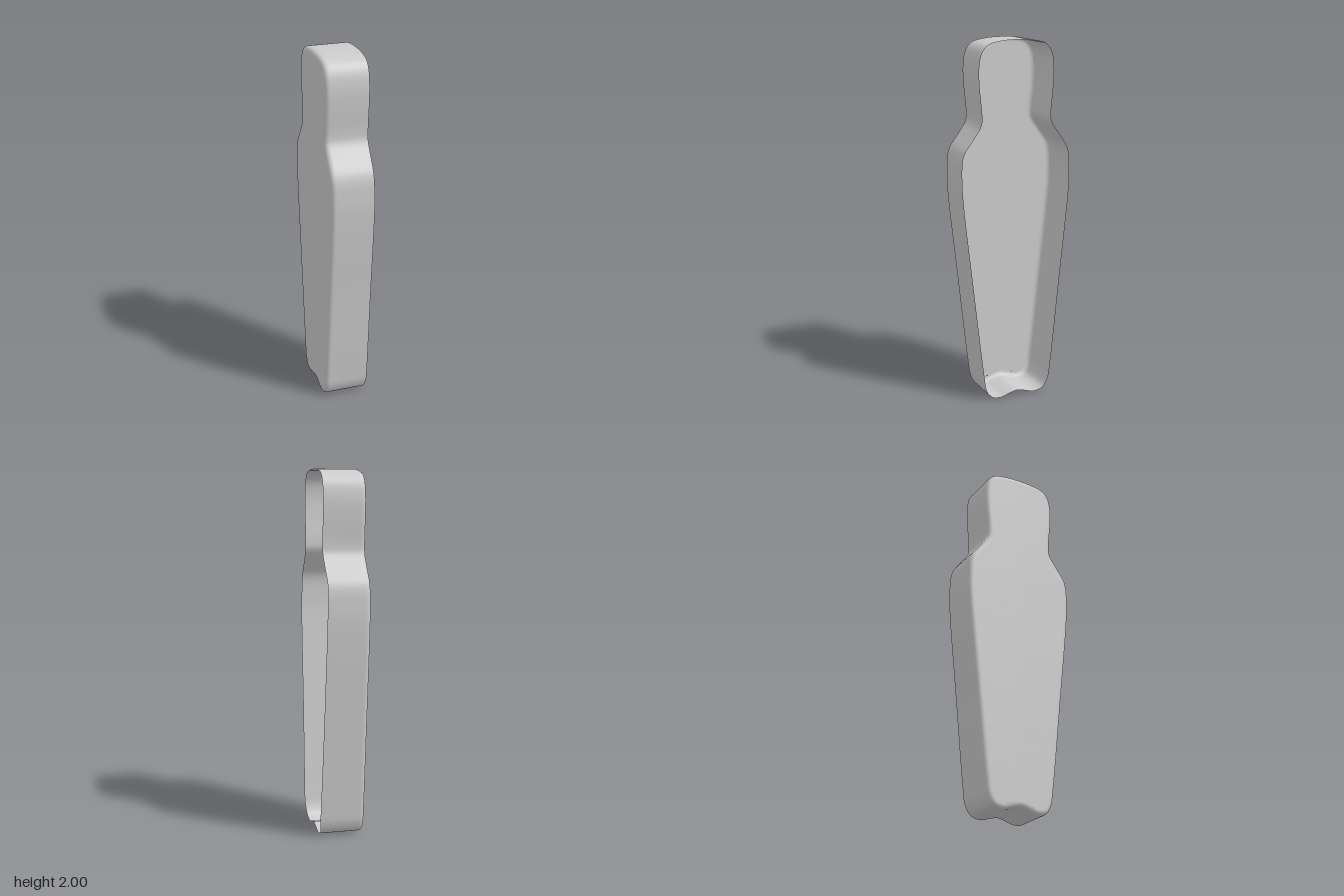
import * as THREE from 'three';

// Half outline as [z, y], from the top centre down to the notch at the foot
const HALF = [
  [0, 2], [0.1, 1.994], [0.17, 1.975], [0.205, 1.93], [0.219, 1.85], [0.215, 1.74],
  [0.203, 1.61], [0.207, 1.557], [0.25, 1.49], [0.3, 1.42], [0.315, 1.375], [0.32, 1.29],
  [0.317, 1.18], [0.262, 0.66], [0.205, 0.15], [0.192, 0.07], [0.165, 0.02], [0.13, 0.004],
  [0.095, 0.003], [0.05, 0.017], [0, 0.028],
];
// Rim position in x against height, as [y, x]
const RIM = [[0, 0.115], [0.1, 0.124], [0.6, 0.117], [1.2, 0.112], [1.4, 0.108], [1.6, 0.112], [2, 0.111]];
const FLOOR = -0.125, RADIUS = 0.025, STEPS = 200;

function rimX(y) {
  let k = 1;
  while (k < RIM.length - 1 && y > RIM[k][0]) k++;
  const [y0, x0] = RIM[k - 1], [y1, x1] = RIM[k];
  return THREE.MathUtils.lerp(x0, x1, THREE.MathUtils.clamp((y - y0) / (y1 - y0), 0, 1));
}

function trayGeometry() {
  const mirrored = HALF.slice(1, -1).reverse().map(([z, y]) => [-z, y]);
  const outline = new THREE.CatmullRomCurve3(
    [...HALF, ...mirrored].map(([z, y]) => new THREE.Vector3(0, y, z)), true);

  // Rings from rim to floor: each maps an outline point to a position
  const rings = [
    (p) => [rimX(p.y), p.y, p.z],
    (p) => [FLOOR + RADIUS + 0.01, p.y, p.z],
  ];
  const inset = (p, n, d, x) => [x, p.y + n.y * d, p.z + n.z * d];
  for (let k = 0; k <= 5; k++) {
    const a = (k / 5) * Math.PI / 2;
    rings.push((p, n) => inset(p, n, RADIUS * (1 - Math.cos(a)), FLOOR + RADIUS * (1 - Math.sin(a))));
  }
  rings.push((p, n) => inset(p, n, RADIUS + 0.005, FLOOR));
  // The floor closes on the centre line
  rings.push((p, n) => [FLOOR, THREE.MathUtils.clamp(p.y + n.y * 0.03, 0.058, 1.97), 0]);

  const pos = [], index = [];
  rings.forEach((ring, r) => {
    for (let i = 0; i < STEPS; i++) {
      const p = outline.getPoint(i / STEPS), t = outline.getTangent(i / STEPS);
      pos.push(...ring(p, { y: -t.z, z: t.y }));
      if (r === rings.length - 1) continue;
      const j = (i + 1) % STEPS;
      const a = r * STEPS + i, b = r * STEPS + j, c = a + STEPS, d = b + STEPS;
      index.push(a, c, b, b, c, d);
    }
  });
  const geo = new THREE.BufferGeometry();
  geo.setAttribute('position', new THREE.Float32BufferAttribute(pos, 3));
  geo.setIndex(index);
  geo.computeVertexNormals();
  // The flat centre line always faces straight out of the floor
  const normal = geo.attributes.normal;
  for (let i = (rings.length - 1) * STEPS; i < normal.count; i++) normal.setXYZ(i, -1, 0, 0);
  return geo;
}

export function createModel() {
  const group = new THREE.Group();
  group.name = 'openTray';
  const shell = new THREE.Mesh(
    trayGeometry(),
    new THREE.MeshStandardMaterial({ color: 0xcccccc, side: THREE.DoubleSide }));
  shell.name = 'trayShell';
  group.add(shell);
  return group;
}
